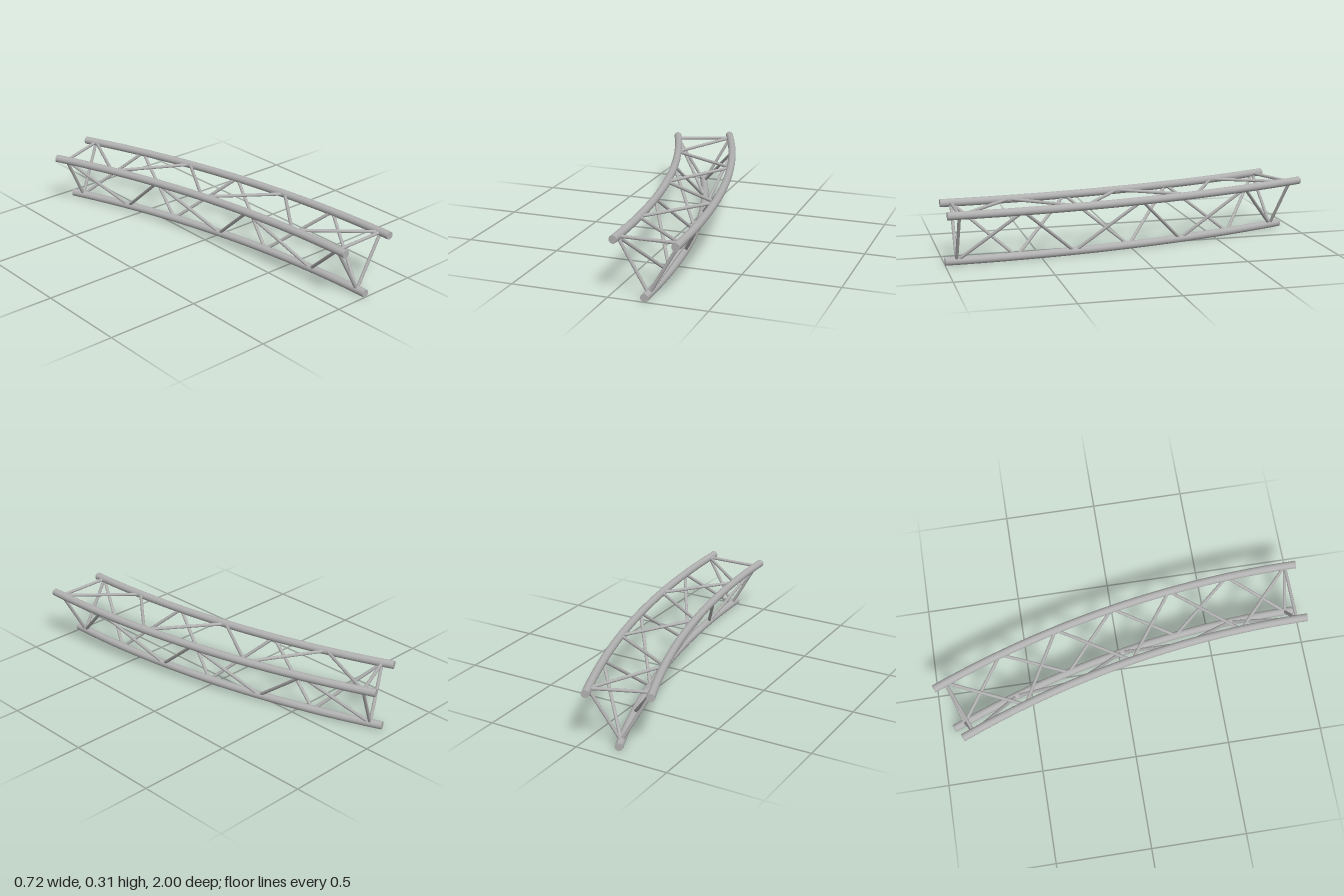
import * as THREE from 'three';

const DEG = Math.PI / 180;
const ARC = 22.5 * DEG;          // sweep of the curved truss
const CENTRE_X = -4.866;         // bend centre lies at z = 1
const CHORD_R = 0.0207;
const BRACE_R = 0.0085;
const BAYS = 6;
const FIRST = 0.66 * DEG, LAST = 21.77 * DEG; // first and last brace nodes

// the three main tubes: bend radius and height
const CHORDS = {
  inner: { radius: 4.897, y: 0.289 },
  outer: { radius: 5.206, y: 0.289 },
  bottom: { radius: 5.0515, y: 0.0207 },
};

function pointOn(chord, angle, target = new THREE.Vector3()) {
  return target.set(
    CENTRE_X + chord.radius * Math.cos(angle),
    chord.y,
    1 - chord.radius * Math.sin(angle)
  );
}

class ChordCurve extends THREE.Curve {
  constructor(chord) {
    super();
    this.chord = chord;
  }
  getPoint(t, target) {
    return pointOn(this.chord, t * ARC, target);
  }
}

export function createModel() {
  const model = new THREE.Group();
  model.name = 'curvedTruss';
  const metal = new THREE.MeshStandardMaterial({ color: 0xb0b0b0 });
  metal.name = 'aluminium grey';

  const add = (geometry, name, parent) => {
    const mesh = new THREE.Mesh(geometry, metal);
    mesh.name = name;
    parent.add(mesh);
    return mesh;
  };

  // main tubes with flat end caps
  for (const [name, chord] of Object.entries(CHORDS)) {
    const group = new THREE.Group();
    group.name = name + 'Chord';
    model.add(group);
    add(new THREE.TubeGeometry(new ChordCurve(chord), 32, CHORD_R, 24), name + 'Tube', group);
    for (const [angle, turn] of [[0, 0], [ARC, ARC + Math.PI]]) {
      const cap = add(new THREE.CircleGeometry(CHORD_R, 24), name + 'Cap', group);
      pointOn(chord, angle, cap.position);
      cap.rotation.y = turn;
    }
  }

  // straight round brace between two points
  const up = new THREE.Vector3(0, 1, 0);
  const addBrace = (a, b, name, parent) => {
    const dir = b.clone().sub(a);
    const brace = add(new THREE.CylinderGeometry(BRACE_R, BRACE_R, dir.length(), 16), name, parent);
    brace.position.copy(a).add(b).multiplyScalar(0.5);
    brace.quaternion.setFromUnitVectors(up, dir.normalize());
  };

  // each face: a strut at both ends and a zigzag of diagonals between
  const nodeAngle = (i) => FIRST + ((LAST - FIRST) * i) / BAYS;
  const faces = [
    ['top', CHORDS.outer, CHORDS.inner],
    ['innerSide', CHORDS.inner, CHORDS.bottom],
    ['outerSide', CHORDS.bottom, CHORDS.outer],
  ];
  for (const [name, start, other] of faces) {
    const group = new THREE.Group();
    group.name = name + 'Bracing';
    model.add(group);
    for (const angle of [FIRST, LAST]) {
      addBrace(pointOn(start, angle), pointOn(other, angle), name + 'EndStrut', group);
    }
    for (let i = 0; i < BAYS; i++) {
      const [from, to] = i % 2 ? [other, start] : [start, other];
      addBrace(pointOn(from, nodeAngle(i)), pointOn(to, nodeAngle(i + 1)), name + 'Diagonal', group);
    }
  }
  return model;
}
